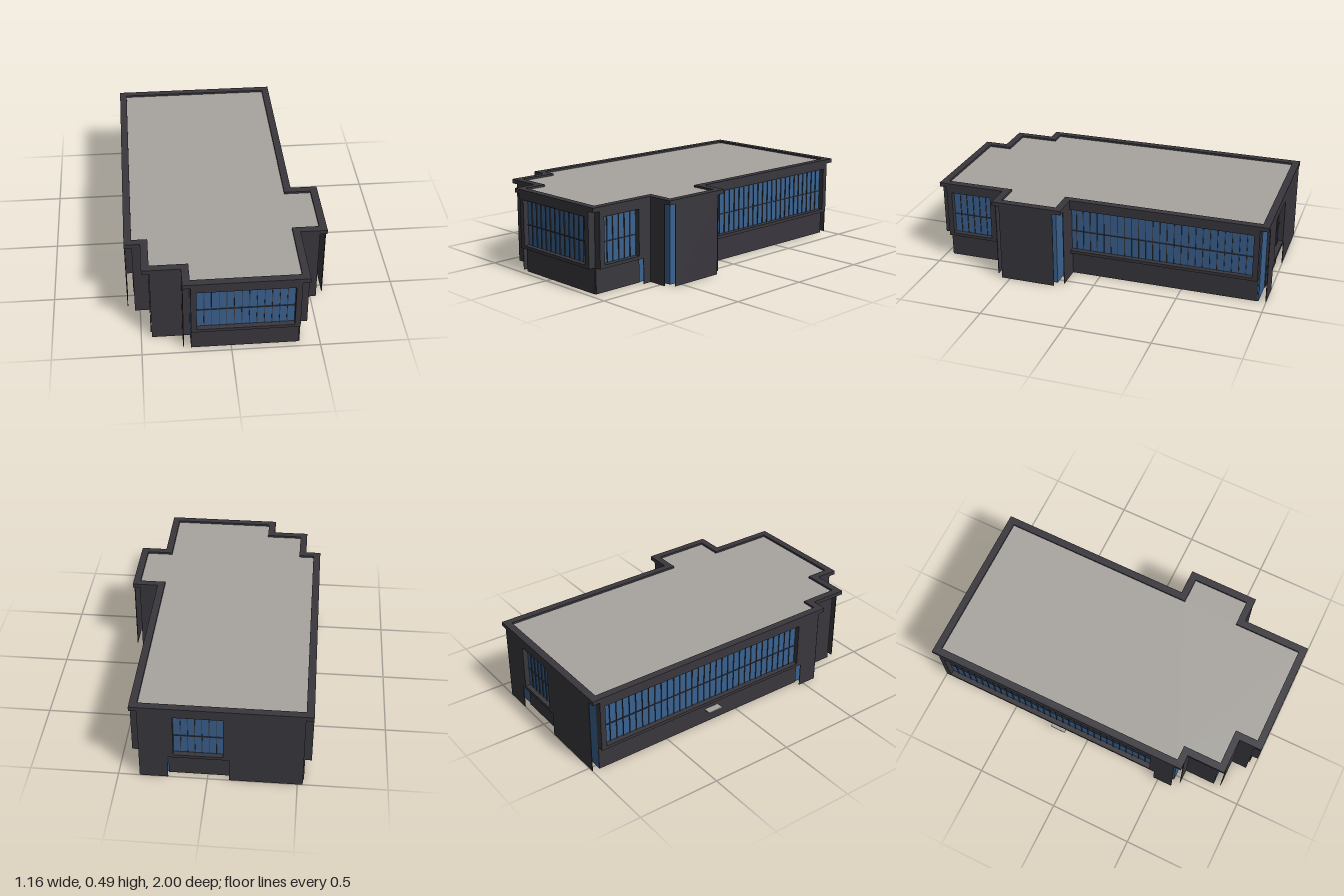
import * as THREE from 'three';

const dark = new THREE.MeshStandardMaterial({ color: 0x39373d, side: THREE.DoubleSide });
dark.name = 'charcoal cladding';
const blue = new THREE.MeshStandardMaterial({ color: 0x3a618f, side: THREE.DoubleSide });
blue.name = 'blue glass';
const grey = new THREE.MeshStandardMaterial({ color: 0xa8a5a0, side: THREE.DoubleSide });
grey.name = 'grey roof';

const OUT = 0.043;   // how far cladding, frames and parapet stand off the glass
const TOP = 0.49, EAVE = 0.465, ROOF = 0.478, SILL = 0.147;

// Glass line in plan, as x, z
const plan = [
  [-0.53, -0.957], [0.38, -0.957], [0.38, 0.213], [0.535, 0.213], [0.535, 0.55], [0.38, 0.55],
  [0.38, 0.957], [-0.225, 0.957], [-0.225, 0.82], [-0.44, 0.82], [-0.44, 0.59], [-0.53, 0.59],
];

// Moves every corner outward by d
function offsetPlan(d) {
  const n = plan.length;
  const normal = (a, b) => [Math.sign(b[1] - a[1]), -Math.sign(b[0] - a[0])];
  return plan.map((p, i) => {
    const n1 = normal(plan[(i + n - 1) % n], p), n2 = normal(p, plan[(i + 1) % n]);
    return [p[0] + d * (n1[0] + n2[0]), p[1] + d * (n1[1] + n2[1])];
  });
}
const toPoints = (pts) => pts.map(([x, z]) => new THREE.Vector2(x, -z));

export function createModel() {
  const model = new THREE.Group();
  model.name = 'building';

  function add(name, geometry, material, parent = model) {
    const mesh = new THREE.Mesh(geometry, material);
    mesh.name = name;
    parent.add(mesh);
    return mesh;
  }

  // Box on a wall: axis is the facing axis, s its sign, a..b runs along the wall,
  // o0..o1 is the distance out from the glass plane
  function slab(name, wall, a, b, y0, y1, o0, o1, material = dark, parent = model) {
    const [axis, s, plane] = wall;
    const len = b - a, mid = (a + b) / 2, dep = o1 - o0, at = plane + s * (o0 + o1) / 2;
    const onX = axis === 'x';
    const geo = new THREE.BoxGeometry(onX ? dep : len, y1 - y0, onX ? len : dep);
    geo.translate(onX ? at : mid, (y0 + y1) / 2, onX ? mid : at);
    return add(name, geo, material, parent);
  }

  // Glass lining, one open face per plan edge
  plan.forEach((p, i) => {
    const q = plan[(i + 1) % plan.length];
    const geo = new THREE.PlaneGeometry(Math.hypot(q[0] - p[0], q[1] - p[1]), ROOF);
    geo.rotateY(Math.atan2(q[1] - p[1], -(q[0] - p[0])));
    geo.translate((p[0] + q[0]) / 2, ROOF / 2, (p[1] + q[1]) / 2);
    add('glassWall', geo, blue);
  });

  // Roof deck
  const deck = new THREE.ShapeGeometry(new THREE.Shape(toPoints(plan)));
  deck.rotateX(-Math.PI / 2).translate(0, ROOF, 0);
  add('roof', deck, grey);

  // Parapet ring
  const ring = new THREE.Shape(toPoints(offsetPlan(OUT)));
  ring.holes.push(new THREE.Path(toPoints(plan)));
  const parapet = new THREE.ExtrudeGeometry(ring, { depth: TOP - EAVE, bevelEnabled: false });
  parapet.rotateX(-Math.PI / 2).translate(0, EAVE, 0);
  add('parapet', parapet, dark);

  const front = ['z', 1, 0.957], back = ['z', -1, -0.957];
  const right = ['x', 1, 0.38], left = ['x', -1, -0.53];
  const bumpSide = ['x', 1, 0.535], bumpFront = ['z', 1, 0.55], bumpBack = ['z', -1, 0.213];

  // Window bay: frame a..b with the pane inset, mullions, and a recessed panel below
  function windowBay(name, wall, a, b, columns, margin = 0.032) {
    const bay = new THREE.Group();
    bay.name = name;
    model.add(bay);
    const g0 = a + margin, g1 = b - margin, w0 = 0.166, w1 = 0.432;
    slab('frameSill', wall, a, b, SILL, w0, 0, OUT, dark, bay);
    slab('frameHead', wall, a, b, w1, EAVE, 0, OUT, dark, bay);
    slab('frameJamb', wall, a, g0, w0, w1, 0, OUT, dark, bay);
    slab('frameJamb', wall, g1, b, w0, w1, 0, OUT, dark, bay);
    slab('pane', wall, g0, g1, w0, w1, 0.008, 0.012, blue, bay);
    for (let i = 1; i < columns; i++) {
      const c = g0 + (g1 - g0) * i / columns;
      slab('mullion', wall, c - 0.0018, c + 0.0018, w0, w1, 0.008, 0.017, dark, bay);
    }
    slab('transom', wall, g0, g1, 0.282, 0.287, 0.008, 0.017, dark, bay);
    slab('transom', wall, g0, g1, 0.421, 0.424, 0.008, 0.017, dark, bay);
    slab('lowerPanel', wall, a, b, 0, SILL, 0.001, 0.006, dark, bay);
  }
  windowBay('frontWindow', front, -0.225, 0.38, 13);
  windowBay('sideFrontWindow', right, 0.645, 0.957, 6);
  windowBay('sideLongWindow', right, -0.95, 0.215, 26);
  windowBay('backWindow', back, -0.12, 0.22, 7);
  windowBay('farLongWindow', left, -0.957, 0.47, 32);

  // Full-height cladding sheets standing off the glass
  const sheets = [
    [right, 0.55, 0.645],
    [bumpSide, 0.22, 0.55],
    [bumpFront, 0.38, 0.535],
    [bumpBack, 0.38, 0.535],
    [back, 0.22, 0.38],
    [back, -0.53, -0.12],
    [left, 0.47, 0.59],
    [['z', 1, 0.59], -0.53, -0.44],
    [['z', 1, 0.82], -0.44, -0.225],
    [['x', -1, -0.225], 0.82, 0.957],
  ];
  for (const [wall, a, b] of sheets) slab('claddingSheet', wall, a, b, 0, EAVE, OUT - 0.004, OUT);
  slab('stepPanel', ['x', -1, -0.44], 0.59, 0.82, 0, EAVE, 0.001, 0.006);

  // Small ledge on the far long side
  slab('ledge', left, -0.23, -0.135, 0.086, 0.093, 0, 0.05, grey);

  return model;
}
